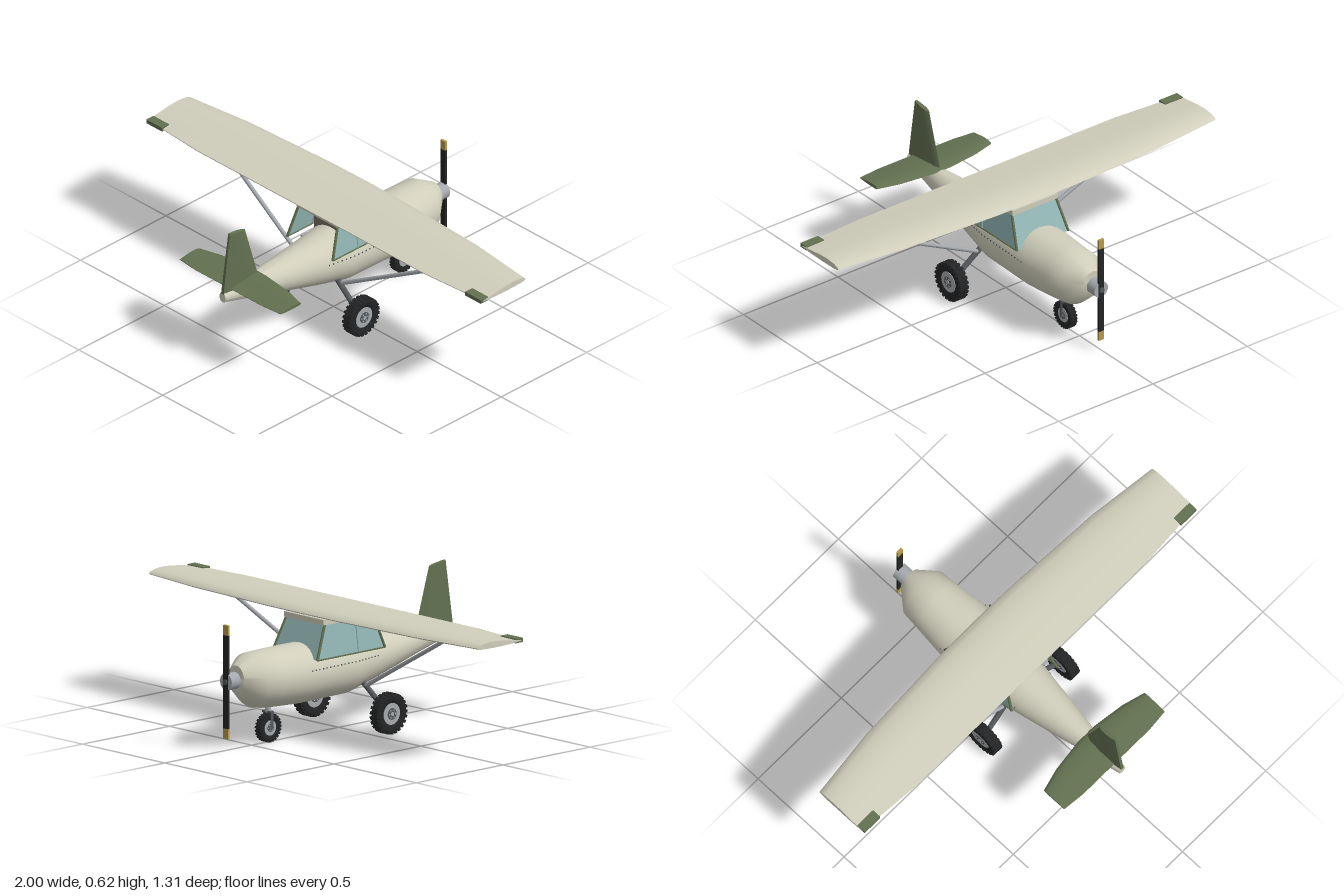
import * as THREE from 'three';
import { toCreasedNormals } from 'three/addons/utils/BufferGeometryUtils.js';

const mat = (name, color, side = THREE.FrontSide) => {
  const m = new THREE.MeshStandardMaterial({ color, side });
  m.name = name;
  return m;
};
const V = (x, y, z) => new THREE.Vector3(x, y, z);

// Skin through closed rings of points, with both ends capped
function loft(rings, crease = 0.6) {
  const n = rings[0].length, pos = [];
  const tri = (...p) => p.forEach(v => pos.push(v.x, v.y, v.z));
  for (let i = 0; i < rings.length - 1; i++) for (let j = 0; j < n; j++) {
    const k = (j + 1) % n, a = rings[i][j], d = rings[i][k], b = rings[i + 1][j], c = rings[i + 1][k];
    tri(a, d, b);
    tri(d, c, b);
  }
  for (const [ring, first] of [[rings[0], true], [rings[rings.length - 1], false]]) {
    const mid = ring.reduce((s, p) => s.add(p), V(0, 0, 0)).divideScalar(n);
    for (let j = 0; j < n; j++) {
      const p = ring[j], q = ring[(j + 1) % n];
      first ? tri(mid, q, p) : tri(mid, p, q);
    }
  }
  const g = new THREE.BufferGeometry();
  g.setAttribute('position', new THREE.Float32BufferAttribute(pos, 3));
  return toCreasedNormals(g, crease);
}

// Airfoil outline as [chord fraction, height fraction]
const FOIL = [[0, .32], [.03, .6], [.12, .85], [.3, 1], [.5, .9], [.75, .6], [1, .32], [1, .22], [.75, .05], [.4, 0], [.12, .04], [.03, .14]];
const foilRing = (x, z0, z1, y, t) => FOIL.map(([c, h]) => V(x, y + h * t, z0 + (z1 - z0) * c));
const mirrorStations = half => [...half.map(([x, ...r]) => [-x, ...r]).reverse(), ...half.slice(1)];

// Fuselage stations: z, bottom, top, half width
const BODY = [[-.59, .235, .355, .05], [-.51, .165, .398, .117], [-.42, .152, .4, .125], [-.28, .145, .4, .14],
  [0, .147, .398, .132], [.15, .18, .385, .105], [.3, .218, .373, .078], [.45, .256, .365, .05], [.65, .305, .352, .018]];
function bodyX(z, y) {
  const i = Math.max(1, BODY.findIndex(s => s[0] >= z)), a = BODY[i - 1], b = BODY[i];
  const t = (z - a[0]) / (b[0] - a[0]), [, lo, hi, w] = a.map((v, k) => v + (b[k] - v) * t);
  return w * Math.sqrt(Math.max(0, 1 - ((y - (lo + hi) / 2) / ((hi - lo) / 2)) ** 2));
}

export function createModel() {
  const cream = mat('cream paint', 0xd0cebb);
  const green = mat('olive paint', 0x627050);
  const glass = mat('window glass', 0x92b6b5, THREE.DoubleSide);
  const metal = mat('grey metal', 0xa6aaae);
  const steel = mat('dark steel', 0x55585b);
  const rubber = mat('black rubber', 0x232425);
  const gold = mat('yellow tip', 0xb8994a);
  const brown = mat('seat brown', 0x776d60);

  const model = new THREE.Group();
  model.name = 'aeroplane';
  const add = (name, geo, m, x = 0, y = 0, z = 0, parent = model) => {
    const mesh = new THREE.Mesh(geo, m);
    mesh.name = name;
    mesh.position.set(x, y, z);
    parent.add(mesh);
    return mesh;
  };
  const box = (name, w, h, d, m, x, y, z, parent) => add(name, new THREE.BoxGeometry(w, h, d), m, x, y, z, parent);
  // Round bar between two points
  const bar = (name, a, b, r, m) => {
    const dir = b.clone().sub(a), mid = a.clone().add(b).multiplyScalar(.5);
    const mesh = add(name, new THREE.CylinderGeometry(r, r, dir.length(), 10), m, mid.x, mid.y, mid.z);
    mesh.quaternion.setFromUnitVectors(V(0, 1, 0), dir.normalize());
    return mesh;
  };
  const pane = (name, a, b, c, d) => {
    const g = new THREE.BufferGeometry().setFromPoints([a, b, c, a, c, d]);
    g.computeVertexNormals();
    return add(name, g, glass);
  };

  // Fuselage
  add('fuselage', loft(BODY.map(([z, lo, hi, w]) => Array.from({ length: 32 }, (_, j) => {
    const a = j / 32 * Math.PI * 2;
    return V(w * Math.cos(a), (lo + hi) / 2 + (hi - lo) / 2 * Math.sin(a), z);
  })), .9), cream);

  // Main wing with tip tabs
  const wing = mirrorStations([[0, -.207, .128, .508, .037], [.2, -.205, .128, .508, .037],
    [.68, -.182, .128, .508, .036], [1, -.144, .105, .51, .028]]);
  add('wing', loft(wing.map(s => foilRing(...s))), cream);

  // Tailplane and fin
  const tail = mirrorStations([[0, .437, .615, .356, .02], [.05, .438, .615, .356, .02],
    [.2, .458, .615, .356, .019], [.302, .486, .605, .357, .015]]);
  add('tailplane', loft(tail.map(s => foilRing(...s))), green);
  const finRing = (y0, y1, z0, z1, w) => [[0, 0], [.12, -.7], [.4, -1], [.8, -.8], [1, -.45], [1, .45], [.8, .8], [.4, 1], [.12, .7]]
    .map(([c, s]) => V(-s * w, y0 + (y1 - y0) * c, z0 + (z1 - z0) * c)).reverse();
  add('fin', loft([finRing(.625, .625, .52, .612, .01), finRing(.345, .345, .44, .651, .017)]
    .map((r, i) => r.map(p => i ? p : V(p.x, .61 + (p.z - .52) * .16, p.z))).reverse()), green)
    .material = green;

  // Cabin: roof, windscreen, seat back
  box('roof', .24, .024, .3, cream, 0, .497, -.05);
  const xb = .136, xt = .116, yb = .345, yt = .486;
  pane('windscreen', V(-xb, yb, -.25), V(-xt, yt, -.19), V(xt, yt, -.19), V(xb, yb, -.25));
  box('seatBack', .2, .09, .03, brown, 0, .395, .0);
  box('instrumentPanel', .2, .06, .03, brown, 0, .4, -.19);

  for (const s of [1, -1]) {
    const side = s > 0 ? 'left' : 'right';
    // Side window and its frame
    const c = [V(s * xb, yb, .138), V(s * xt, yt, .09), V(s * xt, yt, -.19), V(s * xb, yb, -.25)];
    pane(side + 'Window', ...c);
    bar(side + 'RearPost', c[0], c[1], .006, green);
    bar(side + 'FrontPost', c[2], c[3], .006, green);
    bar(side + 'Sill', c[3], c[0], .0035, green);
    bar(side + 'MidPost', V(s * xb, yb, -.012), V(s * xt, yt, -.012), .004, glass);
    // Door handle and rivet row
    box(side + 'Handle', .012, .008, .036, metal, s * (bodyX(.068, .338) + .003), .338, .068);
    for (let i = 0; i < 20; i++) {
      const z = .128 - i * .0213;
      box(side + 'Rivet', .004, .005, .005, steel, s * bodyX(z, .305), .305, z);
    }
    // Wing strut and landing leg
    bar(side + 'WingStrut', V(s * .1, .185, .06), V(s * .715, .512, -.01), .009, metal);
    bar(side + 'LandingLeg', V(s * .07, .21, .06), V(s * .225, .09, .068), .012, steel);
    box(side + 'WingTab', .094, .018, .042, green, s * .951, .518, .096);
  }

  // Wheels: tyre with tread blocks, rim, hub and bolts, axle along x
  const wheel = (name, r, w, x, z) => {
    const g = new THREE.Group();
    g.name = name;
    g.position.set(x, r, z);
    const rim = r * .53, h = w / 2, R = r * .97;
    const profile = [[rim, -h * .7], [r * .7, -h], [r * .88, -h * .95], [R, -h * .6], [R, h * .6],
      [r * .88, h * .95], [r * .7, h], [rim, h * .7]].map(p => new THREE.Vector2(...p));
    add('tyre', toCreasedNormals(new THREE.LatheGeometry(profile, 36), .7), rubber, 0, 0, 0, g).rotation.z = Math.PI / 2;
    const disc = (n, rad, len, m) => {
      add(n, new THREE.CylinderGeometry(rad, rad, len, 28), m, 0, 0, 0, g).rotation.z = Math.PI / 2;
    };
    disc('rim', rim, w * .8, metal);
    disc('hub', r * .28, w * .9, steel);
    disc('hubCap', r * .1, w * .98, metal);
    for (let i = 0; i < 6; i++) {
      const a = i / 6 * Math.PI * 2;
      box('bolt', w * .96, r * .07, r * .07, metal, 0, Math.sin(a) * r * .2, Math.cos(a) * r * .2, g);
    }
    for (let i = 0; i < 48; i++) {
      const a = i / 48 * Math.PI * 2, sx = i % 2 ? 1 : -1;
      box('tread', h * .85, r * .1, r * .14, rubber, sx * h * .5, Math.cos(a) * r * .945, Math.sin(a) * r * .945, g).rotation.x = a;
    }
    model.add(g);
  };
  wheel('leftWheel', .088, .05, .233, .068);
  wheel('rightWheel', .088, .05, -.233, .068);
  wheel('noseWheel', .062, .036, 0, -.405);

  // Nose leg with fork
  bar('noseLeg', V(0, .128, -.405), V(0, .19, -.405), .013, metal);
  box('forkTop', .05, .008, .022, steel, 0, .13, -.405);
  for (const s of [1, -1]) box('forkArm', .005, .075, .012, steel, s * .0225, .095, -.405);

  // Propeller
  add('propellerHub', new THREE.CylinderGeometry(.036, .036, .052, 24), metal, 0, .293, -.622).rotation.x = Math.PI / 2;
  add('hubBolt', new THREE.CylinderGeometry(.012, .012, .012, 12), steel, 0, .293, -.65).rotation.x = Math.PI / 2;
  box('propellerBlades', .028, .4, .011, rubber, 0, .293, -.645);
  for (const s of [1, -1]) box('bladeTip', .028, .044, .011, gold, 0, .293 + s * .221, -.645);

  return model;
}
